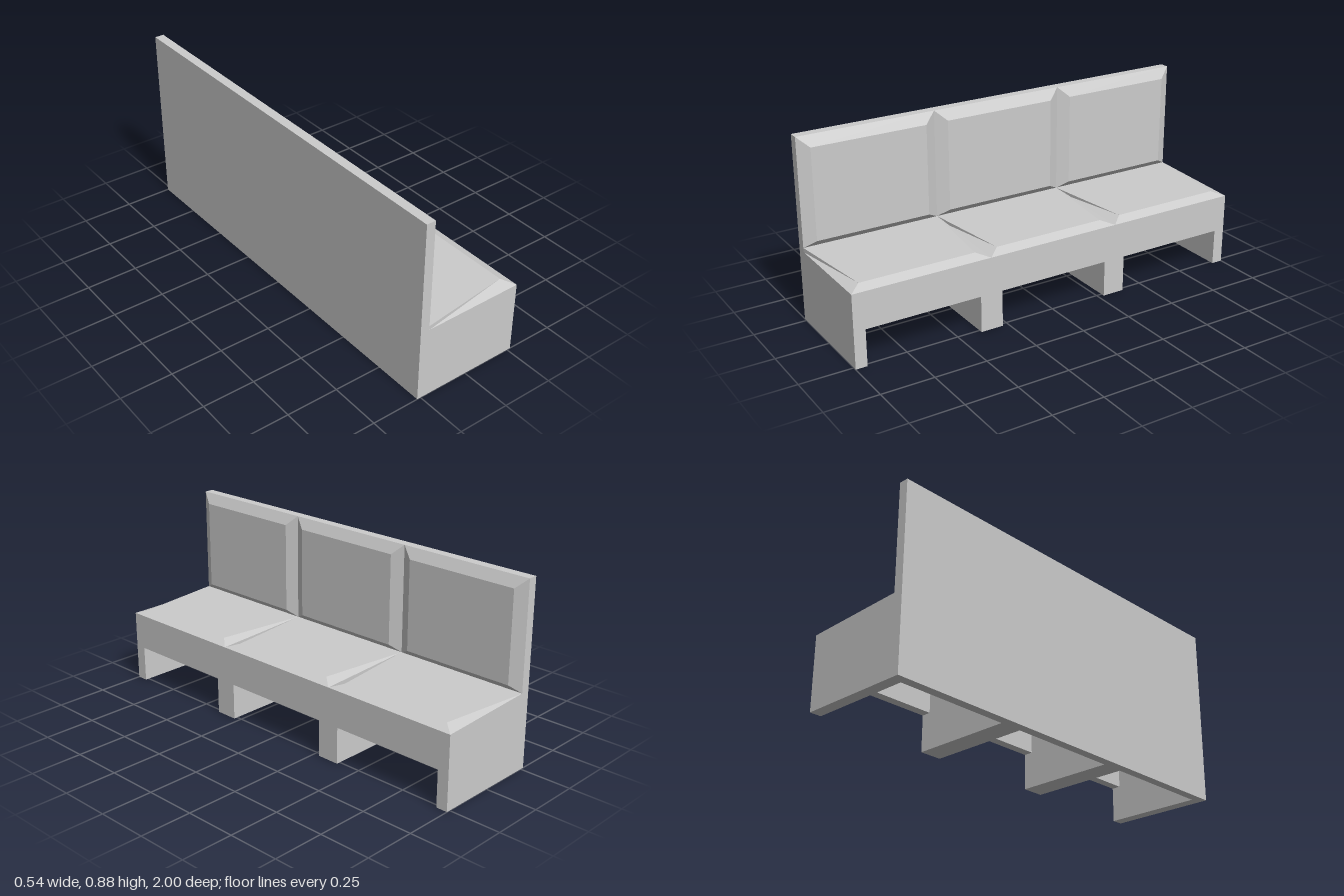
import * as THREE from 'three';

const X0 = -0.268, X1 = 0.268;   // back and front of the bench
const WALL = 0.045, SIDE = 0.055; // panel thickness, half partition thickness
const SEAT = 0.35, TOP = 0.885, CEILING = 0.325, OPENING = 0.175;
const MODULE = 2 / 3;
const backFace = X0 + WALL;

const material = new THREE.MeshStandardMaterial({ color: 0xcccccc, flatShading: true });

function add(group, name, geometry) {
  const mesh = new THREE.Mesh(geometry, material);
  mesh.name = name;
  group.add(mesh);
  return mesh;
}

// Box given by its minimum and maximum corners
function box(group, name, [x0, y0, z0], [x1, y1, z1]) {
  const geometry = new THREE.BoxGeometry(x1 - x0, y1 - y0, z1 - z0);
  geometry.translate((x0 + x1) / 2, (y0 + y1) / 2, (z0 + z1) / 2);
  return add(group, name, geometry);
}

// Bevelled pad between two four-corner loops, counter-clockwise seen from outside
function pad(rim, face) {
  const points = [];
  const quad = (a, b, c, d) => points.push(...a, ...b, ...c, ...a, ...c, ...d);
  for (let i = 0; i < 4; i++) {
    const j = (i + 1) % 4;
    quad(rim[i], rim[j], face[j], face[i]);
  }
  quad(...face);
  const geometry = new THREE.BufferGeometry();
  geometry.setAttribute('position', new THREE.Float32BufferAttribute(points, 3));
  geometry.computeVertexNormals();
  return geometry;
}

export function createModel() {
  const bench = new THREE.Group();
  bench.name = 'bench';

  // Full-height back panel and the slab under the cushions
  box(bench, 'backPanel', [X0, 0, -1], [backFace, TOP, 1]);
  box(bench, 'seatSlab', [backFace, CEILING, -1], [X1 - WALL, SEAT, 1]);

  // Front rail with one notch per seat
  const outline = new THREE.Shape();
  outline.moveTo(-1, SEAT);
  outline.lineTo(-1, 0);
  for (let i = 0; i < 3; i++) {
    const a = -1 + i * MODULE + SIDE, b = -1 + (i + 1) * MODULE - SIDE;
    outline.lineTo(a, 0);
    outline.lineTo(a, OPENING);
    outline.lineTo(b, OPENING);
    outline.lineTo(b, 0);
  }
  outline.lineTo(1, 0);
  outline.lineTo(1, SEAT);
  const rail = new THREE.ExtrudeGeometry(outline, { depth: WALL, bevelEnabled: false });
  rail.rotateY(-Math.PI / 2).translate(X1, 0, 0);
  add(bench, 'frontRail', rail);

  // End walls and partitions between the cavities
  for (let i = 0; i <= 3; i++) {
    const z = -1 + i * MODULE;
    box(bench, 'partition', [backFace, 0, Math.max(-1, z - SIDE)],
      [X1 - WALL, CEILING, Math.min(1, z + SIDE)]);
  }

  // Seat and back cushions
  for (let i = 0; i < 3; i++) {
    const z0 = -1 + i * MODULE, z1 = z0 + MODULE;
    const a = z0 + SIDE, b = z1 - SIDE;

    // Seat pad: full width at the back, narrowing towards the bevelled front
    const y = SEAT + 0.02, front = X1 - 0.047;
    add(bench, 'seatCushion', pad(
      [[backFace, SEAT, z1], [X1, SEAT, z1], [X1, SEAT, z0], [backFace, SEAT, z0]],
      [[backFace, y, z1], [front, y, b], [front, y, a], [backFace, y, z0]]));

    // Back pad: bevelled on all four edges
    const x = backFace + 0.028, low = 0.4, high = 0.835;
    add(bench, 'backCushion', pad(
      [[backFace, y, z1], [backFace, y, z0], [backFace, TOP, z0], [backFace, TOP, z1]],
      [[x, low, b], [x, low, a], [x, high, a], [x, high, b]]));
  }
  return bench;
}
